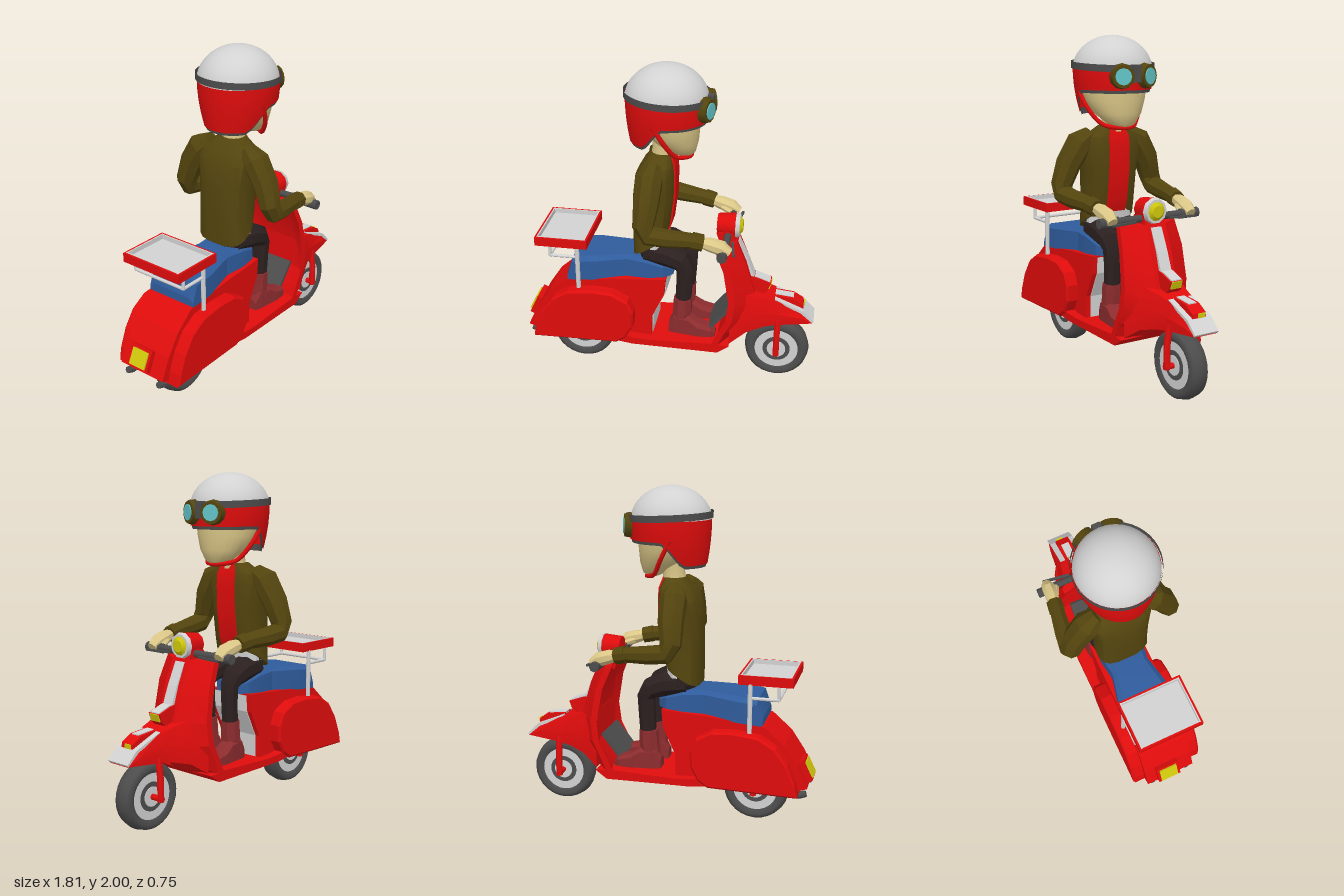
import * as THREE from 'three';
import { toCreasedNormals } from 'three/addons/utils/BufferGeometryUtils.js';

const mat = (name, color, side = THREE.FrontSide) => {
  const m = new THREE.MeshStandardMaterial({ color, side });
  m.name = name;
  return m;
};

export function createModel() {
  const red = mat('red paint', 0xe00c0c, THREE.DoubleSide), white = mat('light grey', 0xd2d2d2);
  const dark = mat('dark grey', 0x4c4c4c, THREE.DoubleSide), blue = mat('blue seat', 0x2f5c9c);
  const skin = mat('skin', 0xdcc888), olive = mat('olive jacket', 0x54450e);
  const black = mat('dark trousers', 0x2c2020), maroon = mat('maroon boots', 0x8c2c2e);
  const yellow = mat('yellow lamp', 0xd0c80c), cyan = mat('cyan lens', 0x62c4c8);

  const root = new THREE.Group();
  const scooter = new THREE.Group(), rider = new THREE.Group();
  scooter.name = 'scooter';
  rider.name = 'rider';
  root.add(scooter, rider);
  let target = scooter;

  const add = (name, geo, material, pos = [0, 0, 0], rot = [0, 0, 0]) => {
    const m = new THREE.Mesh(geo, material);
    m.name = name;
    m.position.set(...pos);
    m.rotation.set(...rot);
    target.add(m);
    return m;
  };
  const both = (fn) => [1, -1].forEach(fn);
  const box = (name, size, material, pos, rot) => add(name, new THREE.BoxGeometry(...size), material, pos, rot);

  // Joins equal rings of points into a closed skin, turned outward
  const loft = (name, rings, material, crease = 0.5, caps = true) => {
    const n = rings[0].length, pos = rings.flat(2), idx = [];
    for (let i = 0; i < rings.length - 1; i++) for (let j = 0; j < n; j++) {
      const a = i * n + j, b = i * n + (j + 1) % n;
      idx.push(a, b, b + n, a, b + n, a + n);
    }
    if (caps) [0, rings.length - 1].forEach((r) => {
      const c = pos.length / 3;
      for (let k = 0; k < 3; k++) pos.push(rings[r].reduce((s, p) => s + p[k], 0) / n);
      for (let j = 0; j < n; j++) {
        const a = r * n + j, b = r * n + (j + 1) % n;
        idx.push(...(r === 0 ? [c, b, a] : [c, a, b]));
      }
    });
    const P = (i) => new THREE.Vector3(...pos.slice(i * 3, i * 3 + 3)).sub(new THREE.Vector3(...rings[0][0]));
    let vol = 0;
    for (let i = 0; i < idx.length; i += 3) vol += P(idx[i]).dot(P(idx[i + 1]).cross(P(idx[i + 2])));
    if (vol < 0) idx.reverse();
    const g = new THREE.BufferGeometry();
    g.setAttribute('position', new THREE.Float32BufferAttribute(pos, 3));
    g.setIndex(idx);
    return add(name, toCreasedNormals(g, crease), material);
  };
  // Horizontal rounded ring: height, centre, radii, roundness, forward tilt
  const oval = (y, cx, rx, rz, n = 14, e = 1, tilt = 0, cz = 0) => Array.from({ length: n }, (_, i) => {
    const a = (i + 0.5) / n * Math.PI * 2, c = Math.cos(a), s = Math.sin(a);
    const px = Math.sign(c) * Math.abs(c) ** e, pz = Math.sign(s) * Math.abs(s) ** e;
    return [cx + rx * px, y + tilt * px, cz + rz * pz];
  });
  // Limb through [x, y, z, radius] points
  const limb = (name, pts, material, n = 8, crease = 0.5) => {
    const V = pts.map((p) => new THREE.Vector3(p[0], p[1], p[2]));
    loft(name, V.map((p, i) => {
      const t = V[Math.min(i + 1, V.length - 1)].clone().sub(V[Math.max(i - 1, 0)]).normalize();
      const u = t.clone().cross(new THREE.Vector3(0, 0, 1)).normalize(), v = t.clone().cross(u);
      return Array.from({ length: n }, (_, j) => {
        const a = (j + 0.5) / n * Math.PI * 2;
        return p.clone().addScaledVector(u, Math.cos(a) * pts[i][3]).addScaledVector(v, Math.sin(a) * pts[i][3]).toArray();
      });
    }), material, crease);
  };
  // Side outline extruded across z
  const slab = (name, pts, half, material, z = 0, bevel = 0) => {
    const d = 2 * (half - bevel);
    const g = new THREE.ExtrudeGeometry(new THREE.Shape(pts.map((p) => new THREE.Vector2(...p))), {
      depth: d, bevelEnabled: bevel > 0, bevelSize: bevel, bevelOffset: -bevel, bevelThickness: bevel, bevelSegments: 1,
    });
    add(name, g.translate(0, 0, z - d / 2), material);
  };
  const disc = (name, r, w, material, pos, n = 24) =>
    add(name, new THREE.CylinderGeometry(r, r, w, n), material, pos, [Math.PI / 2, 0, 0]);

  // Wheels, struts
  [['front', 0.685, 0.44], ['rear', -0.553, 0.3]].forEach(([n, x, top]) => {
    const p = [x, 0.2, 0.012];
    const tyre = [[0.135, -0.045], [0.165, -0.062], [0.19, -0.045], [0.2, 0], [0.19, 0.045], [0.165, 0.062], [0.135, 0.045]];
    add(n + 'Tyre', new THREE.LatheGeometry(tyre.map((q) => new THREE.Vector2(...q)), 28), dark, p, [Math.PI / 2, 0, 0]);
    disc(n + 'Rim', 0.14, 0.086, white, p);
    disc(n + 'HubRing', 0.085, 0.094, dark, p);
    disc(n + 'Hub', 0.058, 0.102, white, p);
    disc(n + 'Axle', 0.018, 0.24, red, [x, 0.2, 0], 8);
    both((s) => limb(n + 'Strut', [[x, 0.185, s * 0.105, 0.02], [x, 0.32, s * 0.105, 0.02], [x, top, s * 0.09, 0.02]], red));
  });

  // Rear body, side cowls and floor
  slab('rearBody', [[-0.88, 0.28], [-0.82, 0.41], [-0.74, 0.53], [-0.62, 0.635], [-0.3, 0.67], [0, 0.69], [-0.01, 0.58],
    [-0.085, 0.42], [-0.09, 0.25], [-0.8, 0.25]], 0.16, red);
  slab('bodyFront', [[0, 0.68], [-0.004, 0.58], [-0.08, 0.42], [-0.085, 0.28], [-0.1, 0.28], [-0.1, 0.42], [-0.02, 0.6]], 0.13, white);
  both((s) => slab('sideCowl', [[-0.83, 0.24], [-0.815, 0.32], [-0.77, 0.43], [-0.7, 0.53], [-0.6, 0.59], [-0.45, 0.608],
    [-0.32, 0.6], [-0.225, 0.55], [-0.19, 0.47], [-0.195, 0.37], [-0.24, 0.29], [-0.3, 0.25]], 0.075, red, s * 0.16, 0.012));
  slab('floorBoard', [[-0.31, 0.32], [-0.31, 0.26], [-0.2, 0.245], [0.33, 0.24], [0.4, 0.29], [0.3, 0.3], [-0.1, 0.285], [-0.2, 0.29]], 0.22, red);

  // Tail lamp and exhausts
  box('tailHousing', [0.045, 0.13, 0.15], red, [-0.855, 0.355, -0.015], [0, 0, -0.45]);
  box('tailLamp', [0.01, 0.1, 0.115], yellow, [-0.88, 0.365, -0.015], [0, 0, -0.45]);
  both((s) => limb('exhaust', [[-0.87, 0.235, s * 0.12, 0.02], [-0.83, 0.222, s * 0.12, 0.022], [-0.66, 0.222, s * 0.12, 0.022],
    [-0.58, 0.26, s * 0.12, 0.02]], dark));

  // Seat, narrowing to the front
  loft('seat', [[-0.61, 0.64, 0.69, 0.165], [-0.575, 0.64, 0.79, 0.165], [-0.45, 0.65, 0.803, 0.165], [-0.25, 0.67, 0.815, 0.12],
    [-0.12, 0.68, 0.81, 0.14], [-0.02, 0.685, 0.78, 0.13], [0.035, 0.69, 0.755, 0.08]].map(([x, b, t, w]) =>
    [[x, b, w], [x, t - 0.025, w], [x, t, w * 0.8], [x, t, -w * 0.8], [x, t - 0.025, -w], [x, b, -w]]), blue, 0.3);

  // Rack and tray
  box('trayFloor', [0.3, 0.015, 0.38], white, [-0.627, 0.91, 0.015]);
  box('trayBase', [0.31, 0.015, 0.39], red, [-0.627, 0.897, 0.015]);
  both((s) => {
    box('traySide', [0.32, 0.055, 0.012], red, [-0.627, 0.917, 0.015 + s * 0.2]);
    box('trayEnd', [0.012, 0.055, 0.4], red, [-0.627 + s * 0.154, 0.917, 0.015]);
    box('trayLiner', [0.3, 0.058, 0.008], white, [-0.627, 0.917, 0.015 + s * 0.19]);
    box('trayEndLiner', [0.008, 0.058, 0.38], white, [-0.627 + s * 0.144, 0.917, 0.015]);
    limb('rackPost', [[-0.537, 0.59, s * 0.18, 0.014], [-0.537, 0.895, s * 0.18, 0.014]], white);
    limb('rackArm', [[-0.537, 0.81, s * 0.18, 0.01], [-0.705, 0.81, s * 0.18, 0.01]], white);
    limb('rackStay', [[-0.705, 0.805, s * 0.18, 0.01], [-0.705, 0.895, s * 0.18, 0.01]], white);
  });
  disc('rackCrossBar', 0.01, 0.36, white, [-0.705, 0.81, 0], 8);

  // Leg shield with wrapped edges, inner panel and front strip
  loft('legShield', [[0.945, 0.295, 0.415, 0.19], [0.8, 0.355, 0.475, 0.205], [0.6, 0.39, 0.535, 0.215], [0.47, 0.375, 0.56, 0.22],
    [0.38, 0.33, 0.53, 0.22], [0.29, 0.29, 0.41, 0.22], [0.24, 0.28, 0.33, 0.22]].map(([y, e, f, w]) =>
    [[e, y, w], [e + 0.04, y, w], [f, y, 0.07], [f, y, -0.07], [e + 0.04, y, -w], [e, y, -w], [e + 0.025, y, -0.13], [e + 0.025, y, 0.13]]), red, 0.3);
  box('footPanel', [0.19, 0.02, 0.27], dark, [0.325, 0.425, 0], [0, 0, 0.9]);
  slab('shieldStrip', [[0.4, 0.93], [0.425, 0.93], [0.486, 0.8], [0.548, 0.64], [0.5, 0.64], [0.46, 0.8]], 0.036, white);
  slab('shieldLampHousing', [[0.5, 0.7], [0.545, 0.69], [0.63, 0.66], [0.61, 0.61], [0.57, 0.57], [0.5, 0.57]], 0.045, red);
  slab('shieldLampTop', [[0.53, 0.7], [0.545, 0.697], [0.625, 0.668], [0.625, 0.661], [0.53, 0.69]], 0.034, white);
  box('shieldLamp', [0.01, 0.045, 0.07], yellow, [0.623, 0.638, 0], [0, 0, -0.3]);

  // Front fender with bright nose and fin
  loft('frontFender', [[0.4, 0.3, 0.66, 0.2], [0.5, 0.37, 0.61, 0.16], [0.6, 0.395, 0.585, 0.12], [0.67, 0.405, 0.565, 0.105],
    [0.83, 0.42, 0.495, 0.09], [0.895, 0.422, 0.432, 0.075]].map(([x, b, t, w]) =>
    [[x, b, w], [x, (b + t) / 2, w], [x, t, w * 0.78], [x, t, -w * 0.78], [x, (b + t) / 2, -w], [x, b, -w]]), red, 0.3);
  slab('fenderPlate', [[0.66, 0.56], [0.66, 0.575], [0.835, 0.503], [0.902, 0.435], [0.895, 0.425], [0.82, 0.49]], 0.08, white);
  slab('fenderFin', [[0.66, 0.55], [0.66, 0.578], [0.77, 0.567], [0.83, 0.53], [0.835, 0.5]], 0.045, red);
  slab('fenderFinTop', [[0.66, 0.575], [0.66, 0.583], [0.772, 0.572], [0.772, 0.564]], 0.026, white);
  box('fenderLamp', [0.008, 0.025, 0.045], yellow, [0.838, 0.517, -0.012]);

  // Steering head, headlamp, handlebar
  box('steeringNeck', [0.1, 0.1, 0.13], red, [0.355, 0.955, 0], [0, 0, 0.3]);
  const along = [0, 0, -Math.PI / 2];
  add('headShell', new THREE.CylinderGeometry(0.075, 0.065, 0.115, 10), red, [0.35, 1.02, 0], along);
  add('headlampRing', new THREE.CylinderGeometry(0.07, 0.078, 0.025, 10), white, [0.415, 1.02, 0], along);
  add('headlamp', new THREE.CylinderGeometry(0.035, 0.06, 0.02, 10), yellow, [0.434, 1.02, 0], along);
  disc('handlebar', 0.022, 0.6, dark, [0.36, 0.975, 0], 8);
  both((s) => {
    disc('grip', 0.03, 0.13, dark, [0.355, 0.972, s * 0.275], 8);
    box('brakeLever', [0.015, 0.012, 0.17], dark, [0.405, 0.965, s * 0.2], [0, s * 0.15, 0]);
  });

  // Rider: trousers, boots
  target = rider;
  loft('hips', [oval(0.79, -0.11, 0.07, 0.12, 10), oval(0.84, -0.1, 0.095, 0.155, 10), oval(0.92, -0.1, 0.09, 0.15, 10)], black);
  loft('shirtHem', [oval(0.885, -0.095, 0.088, 0.153, 12, 0.8), oval(0.96, -0.095, 0.095, 0.153, 12, 0.8)], white);
  both((s) => {
    limb('leg', [[-0.13, 0.85, s * 0.075, 0.075], [0, 0.835, s * 0.09, 0.078], [0.08, 0.8, s * 0.095, 0.068],
      [0.11, 0.75, s * 0.095, 0.056], [0.108, 0.66, s * 0.092, 0.052], [0.1, 0.51, s * 0.09, 0.05]], black);
    limb('bootShaft', [[0.098, 0.54, s * 0.09, 0.058], [0.095, 0.45, s * 0.09, 0.06], [0.08, 0.34, s * 0.09, 0.06]], maroon);
    loft('bootFoot', [[0.015, 0.37, 0.04], [0.05, 0.43, 0.05], [0.14, 0.425, 0.055], [0.2, 0.385, 0.06], [0.28, 0.365, 0.05],
      [0.305, 0.34, 0.03]].map(([x, t, w]) => [[x, 0.305, w], [x, t - 0.02, w], [x, t, w / 2], [x, t, -w / 2], [x, t - 0.02, -w],
      [x, 0.305, -w]].map(([a, b, c]) => [a, b, c + s * (0.09 + a * 0.06)])), maroon);
  });

  // Jacket, shirt and arms
  const torso = [[0.89, -0.11, 0.1, 0.165, 0.06], [1.0, -0.1, 0.115, 0.16, 0.02], [1.2, -0.087, 0.125, 0.165, 0], [1.34, -0.077, 0.117, 0.185, 0],
    [1.41, -0.06, 0.095, 0.16, 0], [1.47, -0.045, 0.06, 0.08, 0]];
  loft('jacket', torso.map(([y, c, rx, rz, t]) => oval(y, c, rx, rz, 16, 0.65, t)), olive);
  loft('shirtFront', torso.map(([y, c, rx, rz, t]) => {
    const f = c + rx + 0.006, h = y + t, w = y > 1.45 ? 0.045 : 0.068;
    return [[f, h, w], [f, h, -w], [f - 0.05, h, -w], [f - 0.05, h, w]];
  }), red);
  both((s) => {
    limb('sleeve', [[-0.075, 1.42, s * 0.13, 0.05], [-0.085, 1.37, s * 0.2, 0.082], [-0.09, 1.25, s * 0.275, 0.076], [-0.1, 1.13, s * 0.315, 0.064],
      [-0.07, 1.075, s * 0.32, 0.06], [0.03, 1.06, s * 0.31, 0.055], [0.2, 1.045, s * 0.285, 0.044]], olive, 8, 0.35);
    limb('cuff', [[0.175, 1.048, s * 0.288, 0.052], [0.24, 1.035, s * 0.28, 0.05]], olive);
    limb('hand', [[0.22, 1.038, s * 0.28, 0.03], [0.28, 1.025, s * 0.275, 0.042], [0.345, 1.005, s * 0.27, 0.045], [0.39, 0.975, s * 0.27, 0.032]], skin);
    limb('thumb', [[0.29, 1.01, s * 0.25, 0.022], [0.345, 0.99, s * 0.225, 0.018], [0.375, 0.97, s * 0.22, 0.012]], skin, 6);
  });

  // Neck and face
  const cz = 0.015;
  loft('neck', [oval(1.42, -0.04, 0.075, 0.075), oval(1.5, -0.035, 0.065, 0.065), oval(1.6, -0.03, 0.075, 0.08)], skin, 1);
  loft('head', [[1.468, 0.1, 0.035, 0.045], [1.49, 0.085, 0.07, 0.085], [1.55, 0.045, 0.125, 0.145], [1.63, 0.005, 0.172, 0.185],
    [1.72, -0.01, 0.192, 0.205], [1.85, -0.01, 0.19, 0.2]].map(([y, c, rx, rz]) => oval(y, c, rx, rz, 24, 1, 0, cz)), skin, 1);

  // Helmet: dome, band, shell cut away at the face, rim
  add('helmetDome', new THREE.SphereGeometry(1, 32, 14, 0, Math.PI * 2, 0, Math.PI * 0.47).scale(0.242, 0.21, 0.235), white, [-0.015, 1.79, cz]);
  const wrap = (name, top, bottom, grow, material) => loft(name, [0, 0.25, 0.5, 0.75, 1].map((v) => Array.from({ length: 40 }, (_, i) => {
    const a = i / 40 * Math.PI * 2, c = Math.cos(a);
    const y = top(c) + (bottom(c) - top(c)) * v, k = Math.max(0, (1.82 - y) / 0.27) ** 2;
    return [-0.01 + c * (0.243 + grow) * (1 - 0.1 * k), y, cz + Math.sin(a) * (0.234 + grow) * (1 - 0.2 * k)];
  })), material, 0.8, false);
  const bandY = (c) => 1.825 - 0.012 * c;
  const edgeY = (c) => 1.55 + 0.14 * THREE.MathUtils.smoothstep(c, -0.62, 0.05);
  wrap('helmetBand', (c) => bandY(c) + 0.02, (c) => bandY(c) - 0.02, 0.008, dark);
  wrap('helmetShell', bandY, edgeY, 0, red);
  wrap('helmetRim', (c) => edgeY(c) + 0.02, (c) => edgeY(c) - 0.018, -0.008, dark);

  // Chin strap
  const strap = [[-0.06, 1.7, 0.21], [0, 1.59, 0.185], [0.06, 1.49, 0.115], [0.125, 1.47, 0.04]];
  const path = [...strap, ...strap.map(([x, y, z]) => [x, y, -z]).reverse()].map(([x, y, z]) => new THREE.Vector3(x, y, z + cz));
  add('chinStrap', new THREE.TubeGeometry(new THREE.CatmullRomCurve3(path), 32, 0.014, 6), red);

  // Goggles
  both((s) => {
    const eye = new THREE.Group();
    eye.name = 'goggleEye';
    eye.position.set(0.218, 1.77, cz + s * 0.08);
    eye.rotation.y = -s * 0.35;
    rider.add(eye);
    target = eye;
    add('goggleFrame', new THREE.CylinderGeometry(0.066, 0.078, 0.06, 12), olive, [0, 0, 0], along);
    add('goggleLens', new THREE.CylinderGeometry(0.048, 0.048, 0.008, 12), cyan, [0.032, 0, 0], along);
    target = rider;
  });
  box('goggleBridge', [0.04, 0.1, 0.05], dark, [0.235, 1.785, cz]);
  return root;
}
